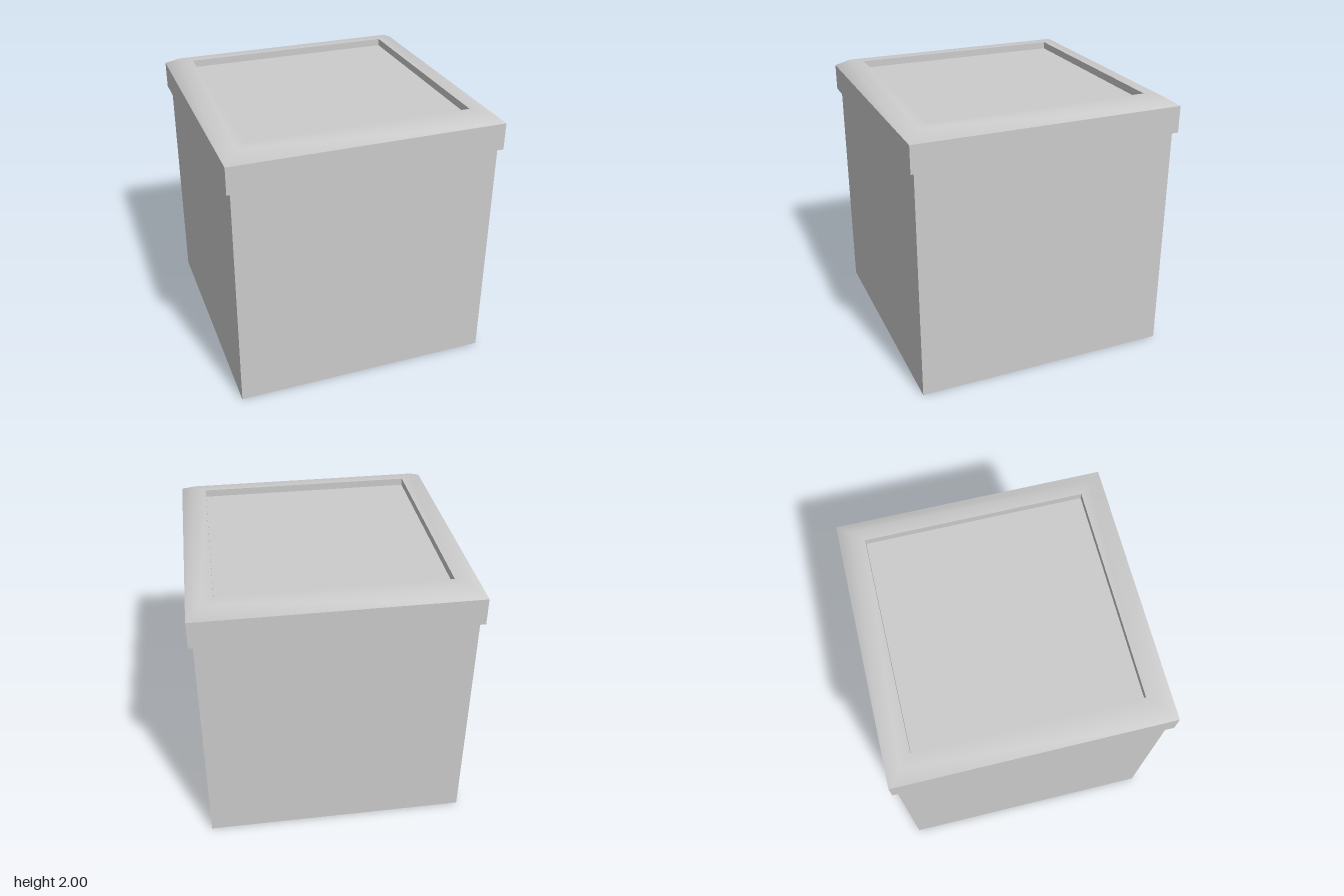
import * as THREE from 'three';
import { toCreasedNormals } from 'three/addons/utils/BufferGeometryUtils.js';

const material = new THREE.MeshStandardMaterial({ color: 0xcccccc });

function addPart(group, name, geometry, y = 0) {
  const mesh = new THREE.Mesh(geometry, material);
  mesh.name = name;
  mesh.position.y = y;
  group.add(mesh);
}

// Square ring swept from a profile of [half width, height] points
function squareLathe(profile) {
  const points = profile.map(([half, y]) => new THREE.Vector2(half * Math.SQRT2, y));
  const geometry = new THREE.LatheGeometry(points, 4, Math.PI / 4);
  return toCreasedNormals(geometry, THREE.MathUtils.degToRad(50));
}

export function createModel() {
  const model = new THREE.Group();
  model.name = 'liddedBox';

  // Plain square body
  const bodyHeight = 1.74;
  addPart(model, 'body', new THREE.BoxGeometry(1.94, bodyHeight, 1.94), bodyHeight / 2);

  // Overhanging lid: underside, band, soft bevel, rim and recess wall
  const lid = new THREE.Group();
  lid.name = 'lid';
  const recess = 0.81, floorY = 1.945;
  addPart(lid, 'lidFrame', squareLathe([
    [0.97, bodyHeight], [1, bodyHeight], [1, 1.94], [0.9, 2], [recess, 2], [recess, floorY],
  ]));

  // Sunken panel inside the rim
  const panel = new THREE.PlaneGeometry(recess * 2, recess * 2).rotateX(-Math.PI / 2);
  addPart(lid, 'lidPanel', panel, floorY);
  model.add(lid);

  return model;
}
